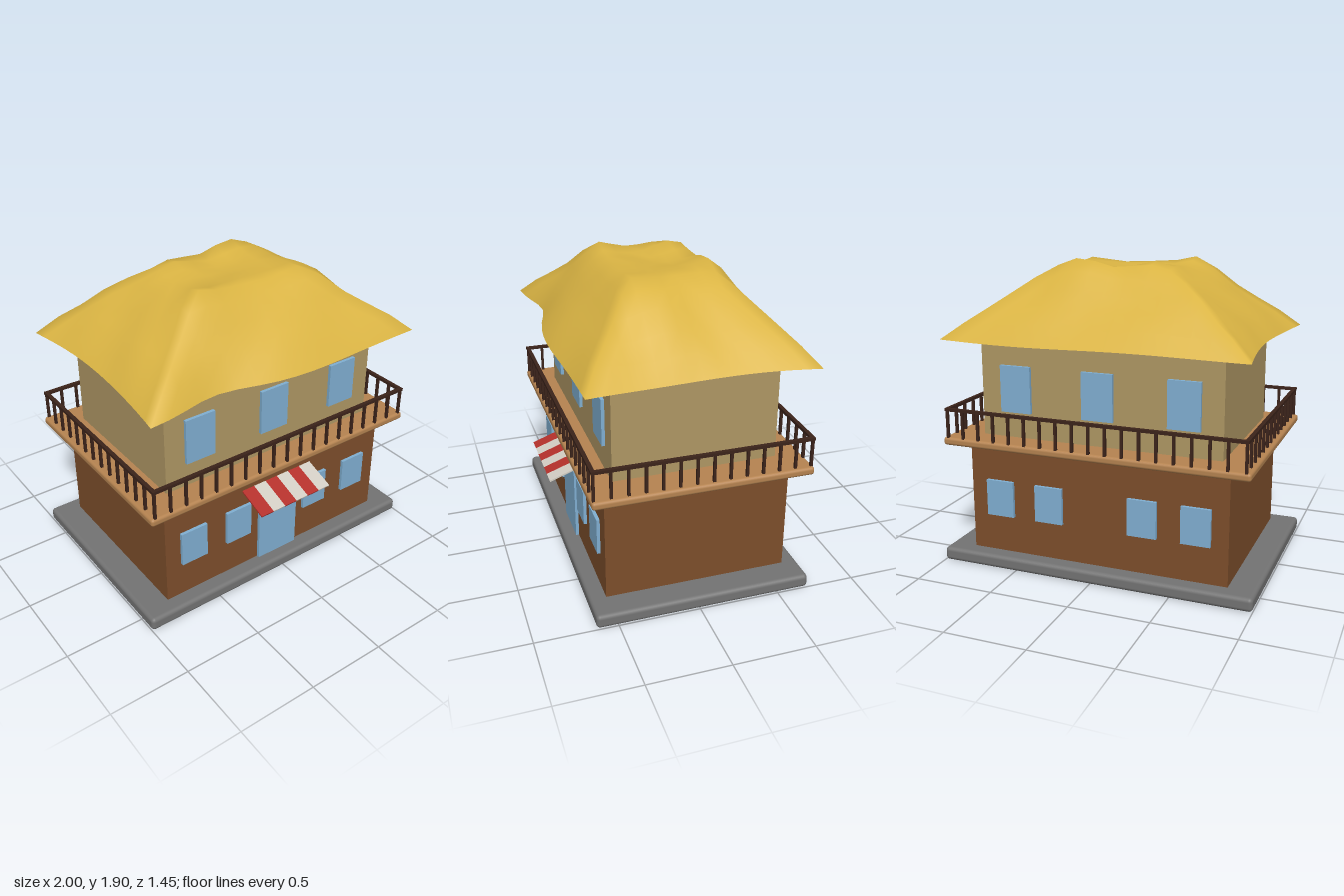
import * as THREE from 'three';
import { RoundedBoxGeometry } from 'three/addons/geometries/RoundedBoxGeometry.js';

const ZC = -0.035; // the building sits a little behind the centre

function material(name, color, side = THREE.FrontSide) {
  const m = new THREE.MeshStandardMaterial({ color, side });
  m.name = name;
  return m;
}

const bump = (x, z, cx, cz, w) => Math.exp(-((x - cx) ** 2 + (z - cz) ** 2) / (w * w));

// Roof height over evenly spaced steps from the crown to the eave
const PROFILE = [1.83, 1.835, 1.84, 1.845, 1.79, 1.705, 1.62, 1.535, 1.43];
function roofHeight(r) {
  const i = Math.min(7, Math.floor(r * 8));
  return THREE.MathUtils.lerp(PROFILE[i], PROFILE[i + 1], r * 8 - i);
}

// Grid bent into a lumpy hipped roof, or into the flat sheet closing it below
function roofSheet(under) {
  const g = new THREE.PlaneGeometry(2, 2, 16, 16);
  g.rotateX(under ? Math.PI / 2 : -Math.PI / 2);
  const p = g.attributes.position;
  const idx = g.index.array;
  // Turn the quad diagonals so that they follow the hips
  for (let k = 0; k < idx.length; k += 6) {
    const [a, b, d, , c] = idx.slice(k, k + 6);
    const u = p.getX(a) + p.getX(c), v = p.getZ(a) + p.getZ(c);
    if (!under && u * v > 0) idx.set([a, b, c, a, c, d], k);
  }
  for (let i = 0; i < p.count; i++) {
    const u = p.getX(i), v = p.getZ(i);
    const r = Math.min(1, Math.max(Math.abs(u), Math.abs(v)));
    const x = u * 0.95 * (1 - 0.06 * Math.abs(u) ** 3 * (1 - v * v));
    let z = v * 0.675 - 0.03;
    if (v > 0) z += v ** 3 * (0.025 * bump(x, 0, 0.1, 0, 0.35) - 0.07 * bump(x, 0, -0.5, 0, 0.25));
    else z += v ** 3 * 0.02 * (1 - u * u);
    const eave = 1.43 + (r > 0.99 ? 0.006 * Math.sin(x * 4 + z * 5) : 0);
    let y = r > 0.99 ? eave : roofHeight(r);
    if (under) y = r > 0.99 ? eave : 1.44;
    else if (r < 0.99) {
      y += 0.05 * bump(x, z, -0.39, 0.22, 0.13) + 0.07 * bump(x, z, 0.2, -0.3, 0.13)
        + 0.045 * bump(x, z, -0.22, -0.2, 0.12) + 0.05 * bump(x, z, 0.56, 0.1, 0.15)
        + 0.02 * bump(x, z, 0.3, 0.2, 0.12) + 0.008 * Math.sin(x * 9 + z * 13);
    }
    p.setXYZ(i, x, y, z);
  }
  g.computeVertexNormals();
  return g;
}

export function createModel() {
  const house = new THREE.Group();
  house.name = 'house';
  const mats = {
    stone: material('stone grey', 0x737373),
    brown: material('wall brown', 0x7d4e2b),
    tan: material('plaster tan', 0xaf9764),
    wood: material('balcony wood', 0xb58350),
    rail: material('railing dark brown', 0x3b231a),
    glass: material('window blue', 0x80afd2),
    thatch: material('thatch gold', 0xdab443, THREE.DoubleSide),
    red: material('awning red', 0xb5302b),
    white: material('awning white', 0xd3cec4),
  };

  function add(name, geometry, mat, x = 0, y = 0, z = 0, parent = house) {
    const m = new THREE.Mesh(geometry, mat);
    m.name = name;
    m.position.set(x, y, z);
    parent.add(m);
    return m;
  }
  function group(name) {
    const g = new THREE.Group();
    g.name = name;
    house.add(g);
    return g;
  }
  const box = (w, h, d) => new THREE.BoxGeometry(w, h, d);

  // Foundation, storeys and balcony floor
  add('foundation', new RoundedBoxGeometry(2, 0.085, 1.33, 3, 0.025), mats.stone, 0, 0.0425, ZC);
  add('groundFloor', box(1.66, 0.71, 1.13), mats.brown, 0, 0.435, ZC);
  add('balconyFloor', new RoundedBoxGeometry(1.935, 0.05, 1.33, 3, 0.018), mats.wood, 0, 0.795, ZC);
  add('upperFloor', box(1.535, 0.65, 1), mats.tan, 0, 1.12, ZC);

  // Windows on front and back, door on the front
  const windows = group('windows');
  for (const s of [1, -1]) {
    for (const x of [-0.635, -0.305, 0.3, 0.63])
      add('lowerWindow', box(0.182, 0.23, 0.04), mats.glass, x, 0.435, ZC + s * 0.565, windows);
    for (const x of [-0.535, 0, 0.535])
      add('upperWindow', box(0.2, 0.29, 0.04), mats.glass, x, 1.125, ZC + s * 0.5, windows);
  }
  add('door', box(0.295, 0.467, 0.04), mats.glass, 0, 0.3185, ZC + 0.565);

  // Railing around the balcony
  const railing = group('railing');
  const RX = 0.938, RZ = 0.65;
  const post = box(0.016, 0.18, 0.016);
  for (const s of [1, -1]) {
    add('handrail', box(1.9, 0.018, 0.024), mats.rail, 0, 0.996, ZC + s * RZ, railing);
    add('handrail', box(0.024, 0.018, 1.32), mats.rail, s * RX, 0.996, ZC, railing);
    for (let i = 0; i <= 18; i++)
      add('baluster', post, mats.rail, -RX + (i * RX) / 9, 0.905, ZC + s * RZ, railing);
    for (let i = 1; i < 13; i++)
      add('baluster', post, mats.rail, s * RX, 0.905, ZC - RZ + (i * 2 * RZ) / 13, railing);
  }

  // Striped awning sloping out over the door
  const awning = group('awning');
  awning.position.set(0, 0.62, 0.625);
  awning.rotation.x = 0.345;
  for (let i = 0; i < 6; i++)
    add('awningStripe', box(0.0885, 0.01, 0.21), i % 2 ? mats.white : mats.red,
      -0.226 + i * 0.0885, 0, 0, awning);

  // Thatched roof and its underside
  add('roof', roofSheet(false), mats.thatch);
  add('roofUnderside', roofSheet(true), mats.thatch);

  return house;
}
